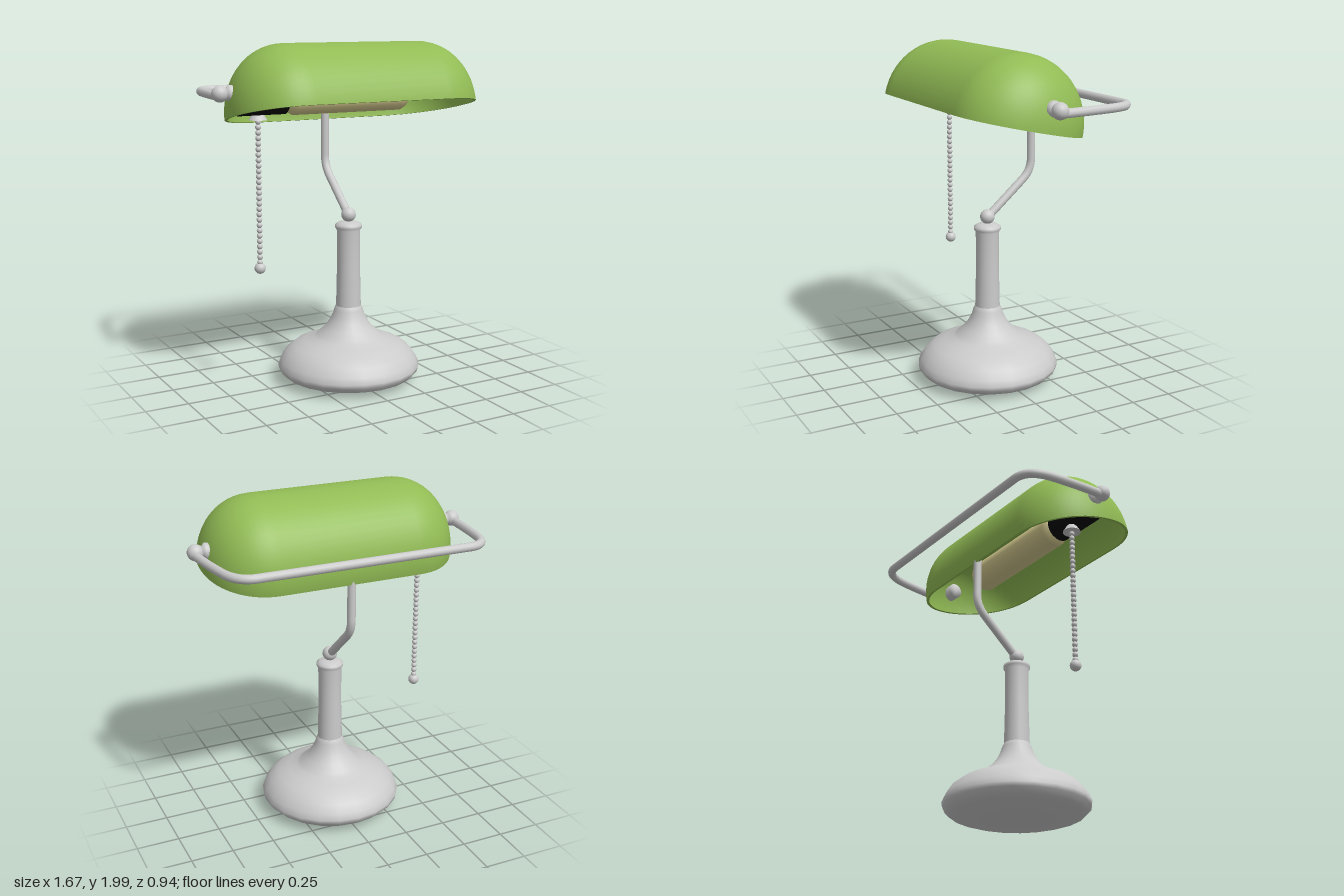
import * as THREE from 'three';

const mat = (color, side = THREE.FrontSide) => new THREE.MeshStandardMaterial({ color, side });
const metal = mat(0xcccccc);
const green = mat(0x92bc55);
const cream = mat(0xd6cb90);
const black = mat(0x050505);

const v3 = (p) => new THREE.Vector3(...p);
const v2 = (p) => new THREE.Vector2(...p);

function add(parent, name, geometry, material, x = 0, y = 0, z = 0) {
  const mesh = new THREE.Mesh(geometry, material);
  mesh.name = name;
  mesh.position.set(x, y, z);
  parent.add(mesh);
  return mesh;
}

const ball = (r, w = 20, h = 14) => new THREE.SphereGeometry(r, w, h);

// Solid turned about the x axis from [x, radius] points
function turnedX(points, segments) {
  const geo = new THREE.LatheGeometry(points.map(([x, r]) => v2([r, x])), segments);
  return geo.rotateZ(-Math.PI / 2);
}

// Capsule outline as (radius, length) points, with rounded ends
function capsule(inset) {
  const pts = [];
  const straight = 0.42, end = 0.33 - inset, r = 0.376 - inset, n = 14;
  for (const s of [-1, 1]) {
    for (let i = 0; i <= n; i++) {
      const t = (s < 0 ? i / n : 1 - i / n) * Math.PI / 2;
      const rad = r * Math.pow(Math.sin(t), 0.94);
      pts.push(v2([rad, s * (straight + end * Math.pow(Math.max(0, Math.cos(t)), 0.94))]));
    }
  }
  return pts;
}

function makeShade() {
  const shade = new THREE.Group();
  shade.name = 'shade';
  const half = (pts) => new THREE.LatheGeometry(pts, 28, 0, Math.PI).rotateZ(Math.PI / 2);
  const outer = capsule(0), inner = capsule(0.016);
  add(shade, 'shadeOuter', half(outer), green);
  add(shade, 'shadeInner', half([...inner].reverse()), green);
  // Flat rim joining both shells
  const loop = (pts) => [
    ...pts.map((p) => v2([p.y, p.x])),
    ...pts.slice(1, -1).reverse().map((p) => v2([p.y, -p.x])),
  ];
  const rim = new THREE.Shape(loop(outer));
  rim.holes.push(new THREE.Path(loop(inner)));
  add(shade, 'shadeRim', new THREE.ShapeGeometry(rim).rotateX(Math.PI / 2), green);
  shade.position.set(0, 1.61, 0.1);
  shade.rotation.x = -0.213;
  shade.scale.y = 1.03;
  return shade;
}

export function createModel() {
  const lamp = new THREE.Group();
  lamp.name = 'deskLamp';
  const axisZ = 0.045;

  // Base and column
  const foot = [[0, 0.005], [0.2, 0.014], [0.34, 0.03], [0.385, 0.045], [0.415, 0.075], [0.42, 0.1],
    [0.405, 0.135], [0.375, 0.18], [0.325, 0.22], [0.26, 0.247], [0.205, 0.268], [0.185, 0.285],
    [0.145, 0.32], [0.115, 0.36], [0.095, 0.4], [0.086, 0.43], [0.08, 0.445], [0.074, 0.455]];
  add(lamp, 'base', new THREE.LatheGeometry(foot.map(v2), 22), metal, 0, 0, axisZ);
  const column = [[0.074, 0.45], [0.068, 0.7], [0.069, 0.91], [0.079, 0.925], [0.079, 0.942],
    [0.06, 0.955], [0.03, 0.962], [0, 0.964]];
  add(lamp, 'column', new THREE.LatheGeometry(column.map(v2), 22), metal, 0, 0, axisZ);
  add(lamp, 'columnBall', ball(0.043), metal, 0, 1.0, axisZ);

  // Bent arm up to the back of the shade
  const arm = new THREE.CurvePath();
  const armPts = [[0, 1.0, 0.04], [0, 1.2, -0.19], [0, 1.25, -0.247], [0, 1.32, -0.247], [0, 1.56, -0.247]].map(v3);
  arm.add(new THREE.LineCurve3(armPts[0], armPts[1]));
  arm.add(new THREE.QuadraticBezierCurve3(armPts[1], armPts[2], armPts[3]));
  arm.add(new THREE.LineCurve3(armPts[3], armPts[4]));
  add(lamp, 'arm', new THREE.TubeGeometry(arm, 40, 0.024, 12), metal);
  add(lamp, 'armTip', ball(0.024, 12, 8), metal, 0, 1.56, -0.247);

  lamp.add(makeShade());

  // Rail around the back of the shade
  const railY = 1.717;
  const side = [[-0.797, railY, 0.04], [-0.785, railY, -0.15], [-0.76, railY, -0.29]].map(v3);
  const bend = [[-0.735, railY, -0.45], [-0.62, railY, -0.448]].map(v3);
  const flip = (p) => new THREE.Vector3(-p.x, p.y, p.z);
  const rail = new THREE.CurvePath();
  rail.add(new THREE.QuadraticBezierCurve3(...side));
  rail.add(new THREE.QuadraticBezierCurve3(side[2], ...bend));
  rail.add(new THREE.LineCurve3(bend[1], flip(bend[1])));
  rail.add(new THREE.QuadraticBezierCurve3(flip(bend[1]), flip(bend[0]), flip(side[2])));
  rail.add(new THREE.QuadraticBezierCurve3(flip(side[2]), flip(side[1]), flip(side[0])));
  add(lamp, 'rail', new THREE.TubeGeometry(rail, 110, 0.025, 12), metal);

  // Pivot knobs and collars at both ends of the shade
  for (const s of [-1, 1]) {
    const knob = new THREE.Group();
    knob.name = s > 0 ? 'leftKnob' : 'rightKnob';
    add(knob, 'knobBall', ball(0.046), metal, 0.79);
    const collar = [[0.66, 0], [0.66, 0.047], [0.738, 0.047], [0.745, 0.036], [0.765, 0.03], [0.77, 0]];
    add(knob, 'knobCollar', turnedX(collar, 18), metal);
    knob.position.set(0, 1.73, axisZ);
    if (s < 0) knob.rotation.y = Math.PI;
    lamp.add(knob);
  }

  // Bulb and socket
  const bulb = [[-0.42, 0], [-0.42, 0.06], [-0.36, 0.093], [0.33, 0.093], [0.36, 0.078], [0.373, 0.05], [0.376, 0]];
  add(lamp, 'bulb', turnedX(bulb, 20), cream, 0, 1.69, axisZ);
  const socket = [[-0.69, 0], [-0.69, 0.085], [-0.41, 0.085], [-0.41, 0]];
  add(lamp, 'socket', turnedX(socket, 20), black, 0, 1.69, axisZ);

  // Pull chain
  const chain = new THREE.Group();
  chain.name = 'pullChain';
  add(chain, 'chainCup', new THREE.CylinderGeometry(0.028, 0.052, 0.04, 18), metal, 0, 1.597);
  const bead = ball(0.0165, 10, 8);
  for (let i = 0; i < 27; i++) add(chain, 'chainBead', bead, metal, 0, 1.567 - i * 0.0306);
  add(chain, 'chainCord', new THREE.CylinderGeometry(0.008, 0.008, 0.82, 8), metal, 0, 1.16);
  add(chain, 'chainPull', ball(0.032), metal, 0, 0.737);
  chain.position.set(-0.556, 0, 0.016);
  lamp.add(chain);

  return lamp;
}
